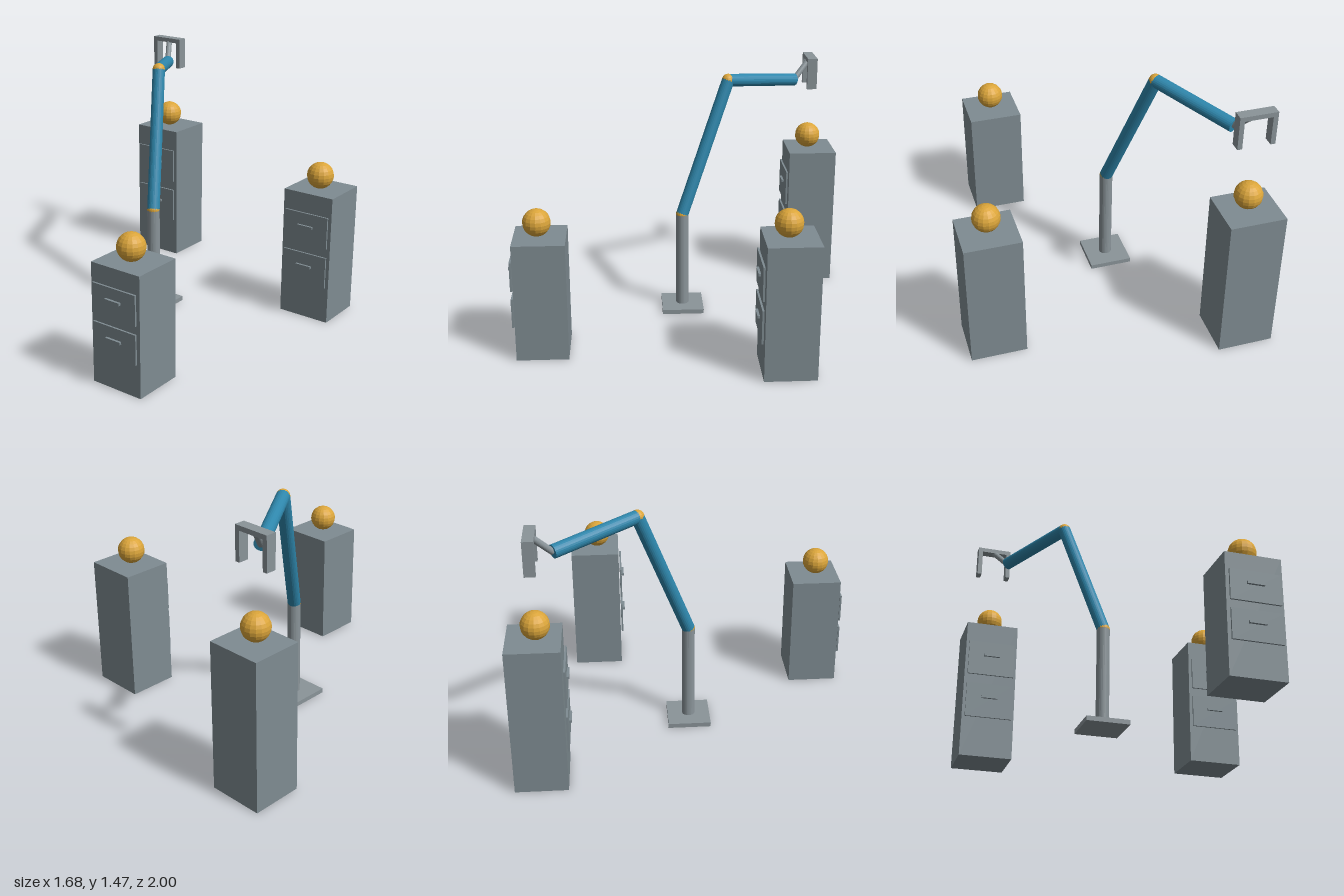
import * as THREE from 'three';

const material = (name, color, flatShading = true) =>
  new THREE.MeshStandardMaterial({ name, color, flatShading });

export function createModel() {
  const cabinetGrey = material('cabinet grey', 0x7f8c92);
  const metalGrey = material('metal grey', 0x8a9499);
  const armBlue = material('arm blue', 0x2e86ab);
  const gold = material('gold', 0xdba53a);

  const model = new THREE.Group();
  model.name = 'robotArmAndCabinets';

  const add = (parent, name, geometry, mat, x, y, z) => {
    const mesh = new THREE.Mesh(geometry, mat);
    mesh.name = name;
    mesh.position.set(x, y, z);
    parent.add(mesh);
    return mesh;
  };
  const box = (parent, name, mat, w, h, d, x, y, z) =>
    add(parent, name, new THREE.BoxGeometry(w, h, d), mat, x, y, z);
  const ball = (parent, name, r, x, y, z) =>
    add(parent, name, new THREE.SphereGeometry(r, 16, 12), gold, x, y, z);

  // Cylinder running between two points
  const rod = (parent, name, mat, r, from, to) => {
    const axis = to.clone().sub(from);
    const mid = from.clone().add(to).multiplyScalar(0.5);
    const mesh = add(parent, name, new THREE.CylinderGeometry(r, r, axis.length(), 24), mat, mid.x, mid.y, mid.z);
    mesh.quaternion.setFromUnitVectors(new THREE.Vector3(0, 1, 0), axis.normalize());
    return mesh;
  };

  // Cabinets: body, two drawers with handles, and a ball on top
  const depth = 0.295;
  const addCabinet = (name, x, z, h) => {
    const cabinet = new THREE.Group();
    cabinet.name = name;
    cabinet.position.set(x, 0, z);
    box(cabinet, 'cabinetBody', cabinetGrey, 0.32, h, depth, 0, h / 2, 0);
    for (const level of [0.406, 0.725]) {
      const y = level * h;
      box(cabinet, 'drawerFront', cabinetGrey, 0.285, h / 4, 0.011, 0, y, depth / 2 + 0.011);
      box(cabinet, 'drawerHandle', cabinetGrey, 0.098, 0.014, 0.014, 0, y + 0.022 * h, depth / 2 + 0.0235);
    }
    ball(cabinet, 'ball', 0.079, 0, h + 0.079, 0.014);
    model.add(cabinet);
  };
  addCabinet('tallCabinet', -0.682, -0.853, 0.87);
  addCabinet('middleCabinet', 0.68, -0.538, 0.78);
  addCabinet('shortCabinet', 0.363, 0.822, 0.69);

  // Arm: base, post, two segments with ball joints
  const arm = new THREE.Group();
  arm.name = 'robotArm';
  model.add(arm);
  const foot = new THREE.Vector3(-0.158, 0.027, 0);
  const shoulder = new THREE.Vector3(-0.158, 0.61, 0);
  const elbow = new THREE.Vector3(-0.337, 1.395, -0.286);
  const wrist = new THREE.Vector3(-0.61, 1.331, -0.728);
  const grip = new THREE.Vector3(-0.681, 1.454, -0.838);
  box(arm, 'base', metalGrey, 0.252, 0.027, 0.252, foot.x, 0.0135, 0);
  rod(arm, 'post', metalGrey, 0.038, foot, shoulder);
  ball(arm, 'shoulderJoint', 0.0385, shoulder.x, shoulder.y, shoulder.z);
  rod(arm, 'upperArm', armBlue, 0.038, shoulder, elbow);
  ball(arm, 'elbowJoint', 0.0385, elbow.x, elbow.y, elbow.z);
  rod(arm, 'forearm', armBlue, 0.038, elbow, wrist);
  rod(arm, 'wristRod', metalGrey, 0.018, wrist, grip);

  // Gripper: crossbar with two fingers
  const gripper = new THREE.Group();
  gripper.name = 'gripper';
  gripper.position.copy(grip);
  arm.add(gripper);
  box(gripper, 'crossbar', metalGrey, 0.212, 0.027, 0.06, 0, 0, 0);
  for (const side of [-1, 1])
    box(gripper, 'finger', metalGrey, 0.027, 0.166, 0.06, side * 0.0925, -0.0965, 0);

  return model;
}
